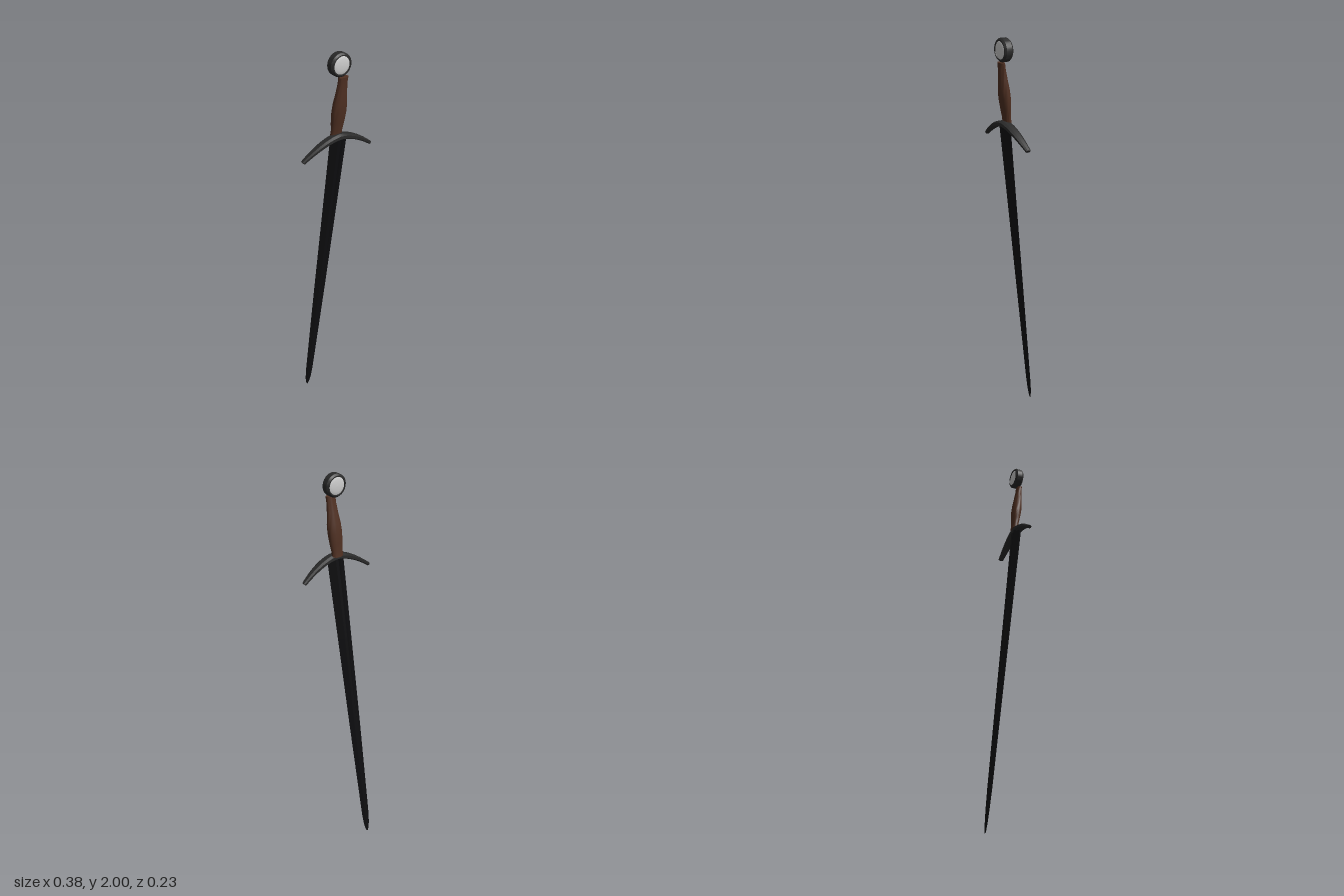
import * as THREE from 'three';
import { mergeVertices, toCreasedNormals } from 'three/addons/utils/BufferGeometryUtils.js';

const paint = (color) => new THREE.MeshStandardMaterial({ color });
const iron = paint(0x2a2a2a), steel = paint(0x0e0e10), wood = paint(0x4f3022), inlay = paint(0xcccccc);

// Skin rings of points (counter-clockwise seen from the last ring) and cap both ends.
function loft(rings, crease) {
  const n = rings[0].length, pos = [], idx = [];
  rings.forEach((r) => r.forEach((p) => pos.push(...p)));
  for (let i = 0; i < rings.length - 1; i++) for (let j = 0; j < n; j++) {
    const a = i * n + j, b = i * n + (j + 1) % n;
    idx.push(a, b, b + n, a, b + n, a + n);
  }
  [0, rings.length - 1].forEach((i) => {
    const c = pos.length / 3;
    pos.push(...[0, 1, 2].map((k) => rings[i].reduce((s, p) => s + p[k], 0) / n));
    for (let j = 0; j < n; j++) {
      const a = i * n + j, b = i * n + (j + 1) % n;
      idx.push(c, ...(i ? [a, b] : [b, a]));
    }
  });
  const g = new THREE.BufferGeometry();
  g.setAttribute('position', new THREE.Float32BufferAttribute(pos, 3));
  g.setIndex(idx);
  return toCreasedNormals(g, crease);
}

function add(group, name, geometry, material) {
  const mesh = new THREE.Mesh(geometry, material);
  mesh.name = name;
  group.add(mesh);
  return mesh;
}

// The blade and grip lean along the same direction.
const leanX = (y) => -0.068 + 0.0425 * y;
const leanZ = (y) => -0.111 + 0.118 * y;

export function createModel() {
  const sword = new THREE.Group();
  sword.name = 'sword';

  // Blade: flat bevelled section with a shallow fuller that fades towards the rounded tip
  const blade = [ // y, half width, half thickness, fuller depth
    [0, 0.004, 0.002, 0], [0.015, 0.010, 0.003, 0], [0.05, 0.017, 0.005, 0],
    [0.11, 0.0215, 0.007, 0], [0.2, 0.0235, 0.009, 0], [0.7, 0.033, 0.013, 0.001],
    [1.2, 0.040, 0.017, 0.004], [1.615, 0.046, 0.021, 0.007],
  ].map(([y, w, t, f]) => [
    [1, 0], [0.32, -1], [0.16, -1], [0, -1], [-0.16, -1], [-0.32, -1],
    [-1, 0], [-0.32, 1], [-0.16, 1], [0, 1], [0.16, 1], [0.32, 1],
  ].map(([u, v]) => [
    leanX(y) + u * w, y, leanZ(y) + v * (Math.abs(u) < 0.2 ? t - f : t),
  ]));
  add(sword, 'blade', loft(blade, 0.3), steel);

  // Grip: oval, swelling in the middle
  const grip = [ // y, half width, half depth
    [1.615, 0.030, 0.017], [1.64, 0.029, 0.017], [1.68, 0.034, 0.021], [1.73, 0.037, 0.025],
    [1.77, 0.035, 0.024], [1.82, 0.028, 0.019], [1.865, 0.024, 0.015], [1.895, 0.025, 0.014],
  ].map(([y, w, d]) => Array.from({ length: 20 }, (_, k) => {
    const a = -k / 20 * Math.PI * 2;
    return [0.0425 * (y - 1.75) + 0.002 + Math.cos(a) * w, y,
      0.082 + 0.125 * (y - 1.75) + Math.sin(a) * d];
  }));
  add(sword, 'grip', loft(grip, 0.9), wood);

  // Crossguard: bevelled bar drooping to both sides, straight behind and tapering in front
  const guard = Array.from({ length: 25 }, (_, i) => {
    const s = i / 12 - 1, q = Math.abs(s);
    const back = 0.056, front = 0.103 - 0.024 * s * s;
    const zc = (back + front) / 2, d = (front - back) / 2;
    const h = 0.015 - 0.007 * q;
    const yc = 1.611 - 0.085 * Math.pow(q, 1.7);
    const slope = -0.76 * Math.sign(s) * Math.pow(q, 0.7);
    const len = Math.hypot(1, slope), nx = -slope / len, ny = 1 / len;
    return [[1, 0.5], [0.5, 1], [-0.5, 1], [-1, 0.5], [-1, -0.5], [-0.5, -1], [0.5, -1], [1, -0.5]]
      .map(([u, v]) => [s * 0.184 + nx * v * h, yc + ny * v * h, zc + u * d]).reverse();
  });
  add(sword, 'crossguard', loft(guard, 0.5), iron);

  // Pommel: bevelled wheel with a pale domed inlay on each face
  const pommel = new THREE.Group();
  pommel.name = 'pommel';
  pommel.position.set(0, 1.947, 0.082);
  sword.add(pommel);
  const v2 = (list) => list.map(([r, y]) => new THREE.Vector2(r, y));
  const rim = new THREE.LatheGeometry(v2([
    [0.001, -0.018], [0.040, -0.018], [0.041, -0.022], [0.046, -0.022], [0.053, -0.014],
    [0.053, 0.014], [0.046, 0.022], [0.041, 0.022], [0.040, 0.018], [0.001, 0.018],
  ]), 32).rotateX(Math.PI / 2);
  rim.deleteAttribute('normal');
  rim.deleteAttribute('uv');
  add(pommel, 'pommelRim', toCreasedNormals(mergeVertices(rim), 0.5), iron);
  [0, Math.PI].forEach((turn) => {
    const dome = new THREE.LatheGeometry(v2([
      [0.041, 0.018], [0.036, 0.0205], [0.026, 0.0225], [0.013, 0.0238], [0, 0.0242],
    ]), 32).rotateX(Math.PI / 2);
    add(pommel, 'pommelInlay', dome, inlay).rotation.y = turn;
  });
  return sword;
}
